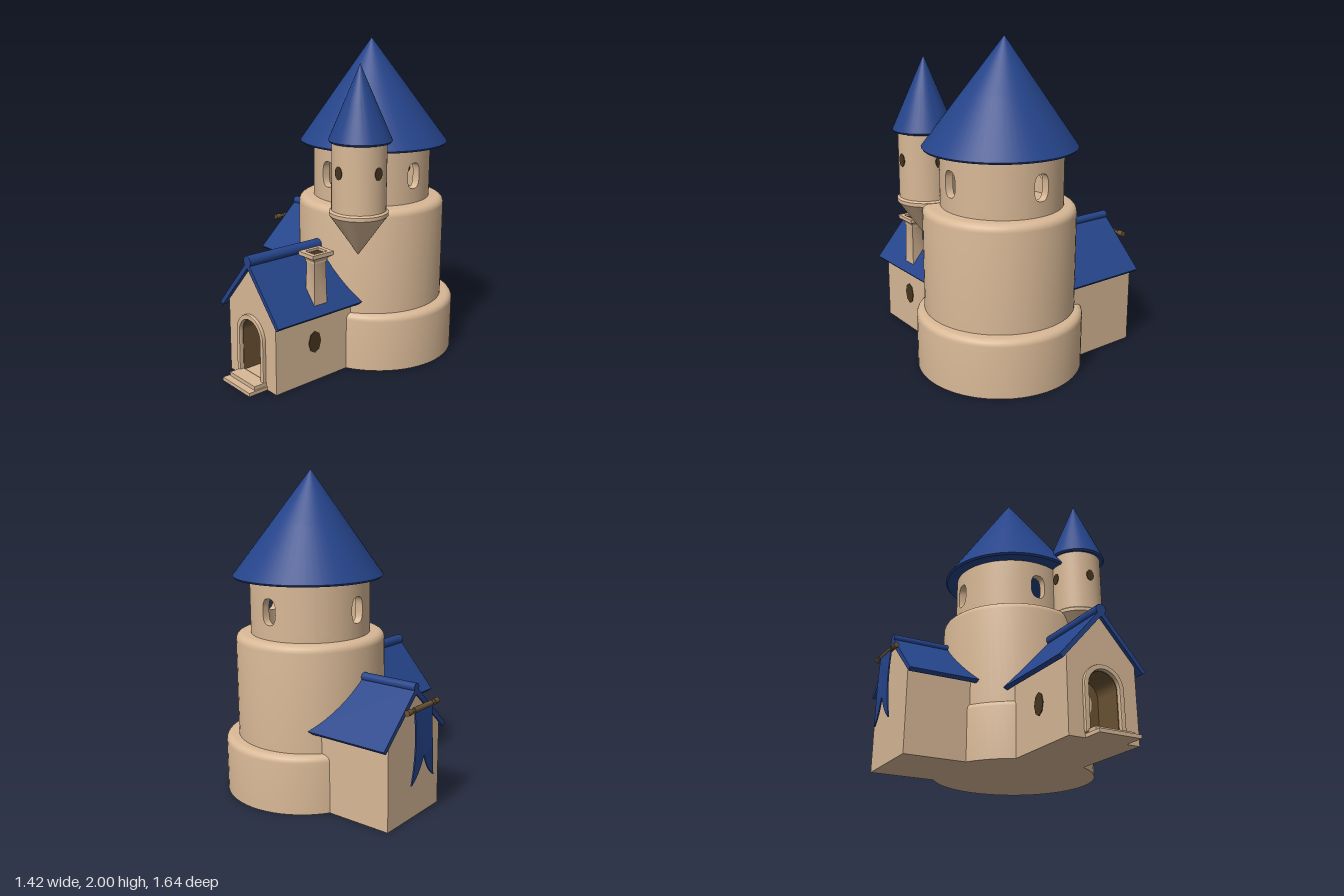
import * as THREE from 'three';
import { toCreasedNormals } from 'three/addons/utils/BufferGeometryUtils.js';

const material = (name, color) => new THREE.MeshStandardMaterial({ name, color, side: THREE.DoubleSide });
const V = (x, y) => new THREE.Vector2(x, y);

export function createModel() {
  const stone = material('stone', 0xd8b896);
  const blue = material('blueRoof', 0x25448a);
  const wood = material('wood', 0x6b5333);
  const dark = material('darkOpening', 0x46351f);

  const model = new THREE.Group();
  model.name = 'castle';

  const add = (parent, name, geo, mat, x = 0, y = 0, z = 0) => {
    const mesh = new THREE.Mesh(geo, mat);
    mesh.name = name;
    mesh.position.set(x, y, z);
    parent.add(mesh);
    return mesh;
  };
  const lathe = (pts, seg = 64) =>
    toCreasedNormals(new THREE.LatheGeometry(pts.map(p => V(...p)), seg), 0.6);
  const extrude = (shape, depth) =>
    new THREE.ExtrudeGeometry(shape, { depth, bevelEnabled: false, curveSegments: 20 });

  // Drum with a rounded upper edge
  const drum = (r, y0, y1, round) => {
    const pts = [[0, y0], [r, y0], [r, y1 - round]];
    for (let i = 1; i <= 5; i++) {
      const a = i * Math.PI / 10;
      pts.push([r - round + round * Math.cos(a), y1 - round + round * Math.sin(a)]);
    }
    pts.push([0, y1]);
    return lathe(pts);
  };
  // Cone with a thin rim; the tip may lean from the base centre
  const coneRoof = (r, y0, y1, dx) => {
    const geo = lathe([[0, y0], [r - 0.01, y0], [r, y0 + 0.012], [r * 0.5, (y0 + y1) / 2 + 0.006], [0, y1]]);
    const p = geo.attributes.position;
    for (let i = 0; i < p.count; i++) p.setX(i, p.getX(i) + dx * (p.getY(i) - y0) / (y1 - y0));
    return geo;
  };

  // Main tower
  const tower = new THREE.Group();
  tower.name = 'tower';
  model.add(tower);
  add(tower, 'towerBase', drum(0.51, 0, 0.36, 0.04), stone, 0.195, 0, -0.312);
  add(tower, 'towerMiddle', drum(0.465, 0.3, 1.01, 0.045), stone, 0.175, 0, -0.285);
  add(tower, 'towerRoof', coneRoof(0.465, 1.352, 2, -0.03), blue, 0.18, 0, -0.295);

  // Upper wall: four curved quarters, each with a see-through window
  const sp = (v, e) => Math.sign(v) * Math.abs(v) ** e;
  const onWall = (u, v, r) => {
    const c = Math.cos(u * 2 * Math.PI), s = Math.sin(u * 2 * Math.PI);
    const m = Math.max(Math.abs(c), Math.abs(s));
    const t = THREE.MathUtils.lerp(0.135 * sp(c, 0.75), c / m * Math.PI / 4, v);
    const y = THREE.MathUtils.lerp(0.08 * sp(s, 0.75), s / m * 0.18, v);
    return [r * Math.sin(t), 1.18 + y, r * Math.cos(t)];
  };
  const grid = (nu, nv, fn) => {
    const geo = new THREE.PlaneGeometry(1, 1, nu, nv);
    const p = geo.attributes.position;
    for (let i = 0; i < p.count; i++) p.setXYZ(i, ...fn(p.getX(i) + 0.5, p.getY(i) + 0.5));
    geo.computeVertexNormals();
    return geo;
  };
  const R = 0.372, Ri = 0.325;
  for (let i = 0; i < 4; i++) {
    const quarter = new THREE.Group();
    quarter.name = 'upperWall' + (i + 1);
    quarter.position.set(0.165, 0, -0.295);
    quarter.rotation.y = i * Math.PI / 2;
    tower.add(quarter);
    add(quarter, 'outerWall', grid(64, 10, (u, v) => onWall(u, v, R)), stone);
    add(quarter, 'innerWall', grid(64, 10, (u, v) => onWall(1 - u, v, Ri)), stone);
    add(quarter, 'windowReveal', grid(64, 1, (u, v) => onWall(u, 0, Ri + (R - Ri) * v)), stone);
  }

  // Corner turret
  const turret = new THREE.Group();
  turret.name = 'turret';
  turret.position.set(0.458, 0, 0.092);
  model.add(turret);
  add(turret, 'turretWall', lathe([[0, 0.74], [0.165, 0.975], [0.177, 0.99], [0.177, 1.012],
    [0.163, 1.022], [0.163, 1.44]], 48), stone);
  add(turret, 'turretRoof', coneRoof(0.188, 1.425, 1.875, -0.01), blue, 0.008);
  for (let i = 0; i < 4; i++) {
    const a = i * Math.PI / 2;
    const win = add(turret, 'turretWindow', new THREE.CylinderGeometry(1, 1, 0.008, 24).rotateX(Math.PI / 2),
      dark, Math.sin(a) * 0.161, 1.26, Math.cos(a) * 0.161);
    win.scale.set(0.028, 0.04, 1);
    win.rotation.y = a;
  }

  // Gabled building running along z
  const gable = (w, eave, ridge) => new THREE.Shape([V(-w, 0), V(w, 0), V(w, eave), V(0, ridge), V(-w, eave)]);
  const roof = (w, eave, ridge, t) => new THREE.Shape([V(-w, eave), V(0, ridge), V(w, eave),
    V(w - t * 0.6, eave - t * 0.6), V(0, ridge - t * 1.4), V(-w + t * 0.6, eave - t * 0.6)]);
  const building = (name, x, z, o) => {
    const g = new THREE.Group();
    g.name = name;
    g.position.set(x, 0, z);
    model.add(g);
    add(g, 'walls', extrude(gable(o.w, o.eave, o.ridge - 0.03), o.z1 - o.z0), stone, 0, 0, o.z0);
    add(g, 'roof', extrude(roof(o.rw, o.rEave, o.ridge, 0.032), o.r1 - o.z0), blue, 0, 0, o.z0);
    add(g, 'ridgeBeam', new THREE.CylinderGeometry(o.beam, o.beam, o.r1 - o.z0, 20).rotateX(Math.PI / 2),
      blue, 0, o.ridge - 0.004, (o.r1 + o.z0) / 2);
    return g;
  };

  // Entrance house
  const house = building('entranceHouse', 0.188, 0,
    { w: 0.23, eave: 0.465, ridge: 0.765, rw: 0.288, rEave: 0.435, z0: 0.07, z1: 0.5, r1: 0.715, beam: 0.034 });
  const arch = (w, y0, spring, C = THREE.Shape) => {
    const s = new C();
    s.moveTo(-w, y0);
    s.lineTo(w, y0);
    s.lineTo(w, spring);
    s.absarc(0, spring, w, 0, Math.PI, false);
    s.lineTo(-w, y0);
    return s;
  };
  const archRing = (w, t) => {
    const s = arch(w + t, 0.035, 0.295);
    s.holes.push(arch(w, 0.04, 0.295, THREE.Path));
    return s;
  };
  const front = gable(0.23, 0.465, 0.735);
  front.holes.push(arch(0.105, 0.04, 0.295, THREE.Path));
  add(house, 'frontWall', extrude(front, 0.19), stone, 0, 0, 0.5);
  add(house, 'doorFrame', new THREE.ExtrudeGeometry(archRing(0.108, 0.018),
    { depth: 0.02, bevelSize: 0.006, bevelThickness: 0.006, bevelSegments: 2, curveSegments: 20 }), stone, 0, 0, 0.685);
  add(house, 'doorLining', extrude(archRing(0.098, 0.006), 0.18), wood, 0, 0, 0.505);
  add(house, 'doorBack', extrude(arch(0.104, 0.04, 0.295), 0.006), wood, 0, 0, 0.501);
  add(house, 'doorMedallion', new THREE.CircleGeometry(0.042, 24), stone, 0.01, 0.26, 0.51).scale.y = 1.6;
  add(house, 'doorStep', new THREE.BoxGeometry(0.27, 0.022, 0.13), stone, 0.008, 0.011, 0.755);
  add(house, 'upperStep', new THREE.BoxGeometry(0.25, 0.025, 0.09), stone, 0.008, 0.033, 0.73);
  for (const s of [-1, 1]) {
    const win = add(house, 'sideWindow', new THREE.CylinderGeometry(1, 1, 0.008, 8).rotateZ(Math.PI / 2),
      dark, s * 0.23, 0.25, 0.4);
    win.scale.set(1, 0.07, 0.047);
  }

  // Square flared chimney
  const chimney = new THREE.Group();
  chimney.name = 'chimney';
  chimney.position.set(0.392, 0, 0.366);
  model.add(chimney);
  const k = Math.SQRT2;
  const stack = add(chimney, 'chimneyStack', toCreasedNormals(new THREE.LatheGeometry(
    [[0.042, 0.45], [0.036, 0.74], [0.046, 0.765], [0.067, 0.78], [0.067, 0.803], [0.042, 0.803], [0.04, 0.74]]
      .map(([r, y]) => V(r * k, y)), 4, Math.PI / 4), 0.6), stone);
  stack.scale.z = 1.18;
  add(chimney, 'chimneyOpening', new THREE.BoxGeometry(0.082, 0.008, 0.097), dark, 0, 0.785, 0);

  // Side wing with its gable facing -x
  const wing = building('sideWing', 0, -0.335,
    { w: 0.26, eave: 0.525, ridge: 0.798, rw: 0.316, rEave: 0.5, z0: 0.1, z1: 0.65, r1: 0.66, beam: 0.026 });
  wing.rotation.y = -Math.PI / 2;

  // Banner on a horizontal pole
  const rod = (r, l) => new THREE.CylinderGeometry(r, r, l, 12).rotateZ(Math.PI / 2);
  add(wing, 'bannerPole', rod(0.011, 0.3), wood, 0.01, 0.685, 0.695);
  add(wing, 'poleSleeve', rod(0.016, 0.18), wood, 0.01, 0.685, 0.695);
  for (const s of [-1, 1]) add(wing, 'poleEnd', rod(0.018, 0.04), wood, 0.01 + s * 0.137, 0.685, 0.695);
  const cloth = new THREE.Shape();
  cloth.moveTo(-0.09, 0.685);
  cloth.quadraticCurveTo(-0.075, 0.45, -0.115, 0.24);
  cloth.quadraticCurveTo(-0.04, 0.29, 0, 0.4);
  cloth.quadraticCurveTo(0.04, 0.29, 0.115, 0.24);
  cloth.quadraticCurveTo(0.075, 0.45, 0.09, 0.685);
  const clothGeo = extrude(cloth, 0.008);
  const cp = clothGeo.attributes.position;
  for (let i = 0; i < cp.count; i++) cp.setZ(i, cp.getZ(i) + 0.008 * Math.sin((0.685 - cp.getY(i)) * 7));
  clothGeo.computeVertexNormals();
  add(wing, 'banner', clothGeo, blue, 0.01, 0, 0.696);

  return model;
}
